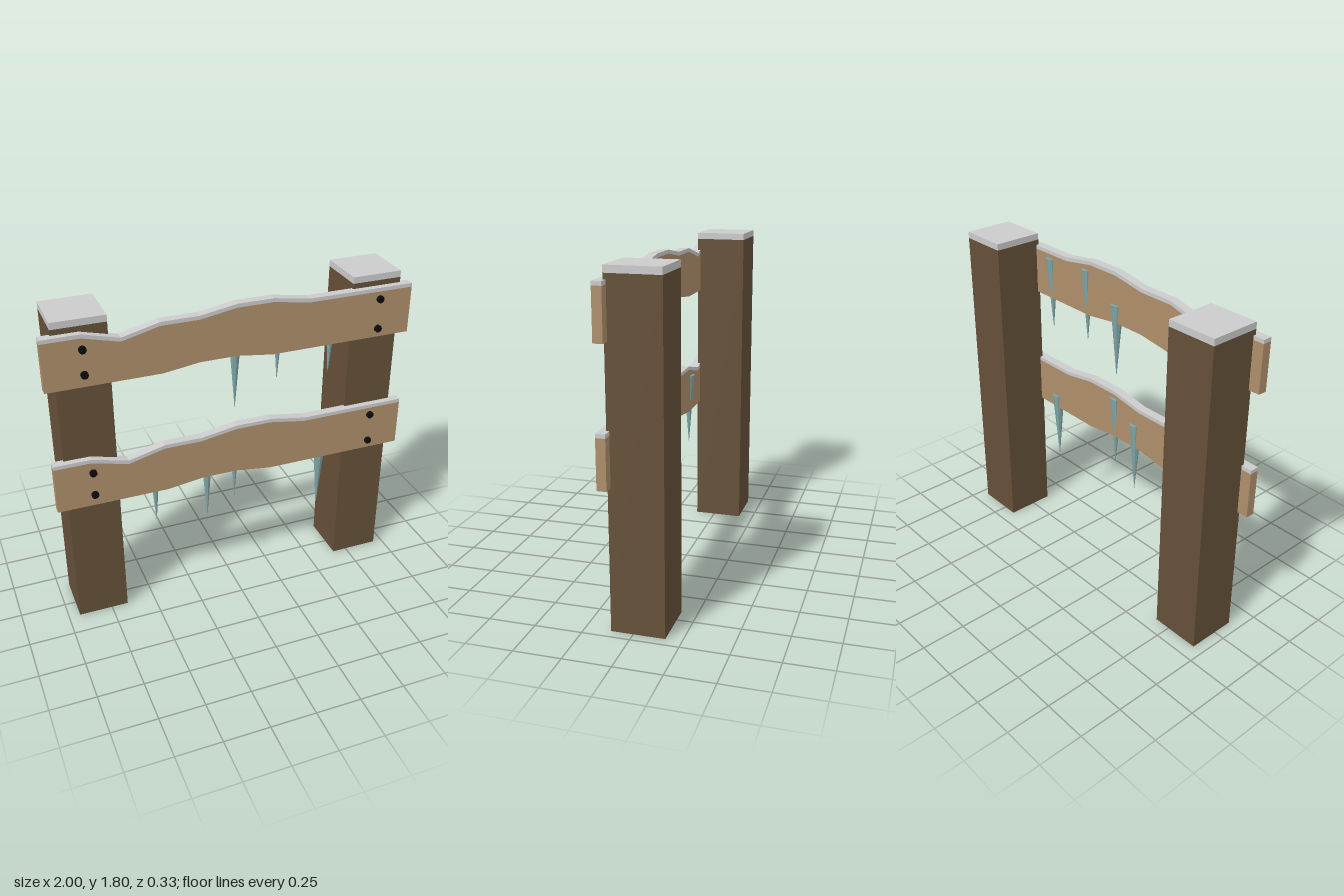
import * as THREE from 'three';

const material = (color) => new THREE.MeshStandardMaterial({ color, flatShading: true });

// Outline heights of a rail, left to right as seen from the front
const TOP = [[-1, 1.717], [-0.8, 1.717], [-0.605, 1.667], [-0.405, 1.717], [-0.2, 1.717],
  [0, 1.75], [0.2, 1.75], [0.4, 1.717], [1, 1.717]];
const BOTTOM = [[-1, 1.457], [-0.4, 1.457], [-0.2, 1.484], [0, 1.484], [0.2, 1.457], [1, 1.457]];
const SNOW = 0.021;
const BACK = 0.1, DEPTH = 0.05;

export function createModel() {
  const model = new THREE.Group();
  model.name = 'snowyFence';
  const postWood = material(0x655038);
  const railWood = material(0xae8f6b);
  const snow = material(0xcccccc);
  const ice = material(0x7fa6a8);
  const iron = material(0x0c0c0c);

  const add = (parent, name, geometry, mat, x = 0, y = 0, z = 0) => {
    const mesh = new THREE.Mesh(geometry, mat);
    mesh.name = name;
    mesh.position.set(x, y, z);
    parent.add(mesh);
    return mesh;
  };

  // Closed band between two height lines, extruded through the rail depth
  const band = (lower, upper) => {
    const points = [...lower, ...[...upper].reverse()].map(([x, y]) => new THREE.Vector2(x, y));
    return new THREE.ExtrudeGeometry(new THREE.Shape(points), { depth: DEPTH, bevelEnabled: false });
  };

  // Square posts with a slab of snow on top
  for (const [side, x] of [['right', -0.798], ['left', 0.806]]) {
    add(model, `${side}Post`, new THREE.BoxGeometry(0.28, 1.767, 0.28), postWood, x, 0.8835, -0.025);
    add(model, `${side}PostSnow`, new THREE.BoxGeometry(0.28, 0.036, 0.28), snow, x, 1.785, -0.025);
  }

  const railGeometry = band(BOTTOM, TOP);
  const snowGeometry = band(TOP, TOP.map(([x, y]) => [x, y + SNOW]));
  const boltGeometry = new THREE.CylinderGeometry(0.02, 0.02, 0.02, 12).rotateX(Math.PI / 2);
  const bolts = [[-0.798, 1.66], [-0.798, 1.525], [0.811, 1.676], [0.811, 1.507]];

  // Icicles: downward cones behind the rails, listed as x and tip height
  const length = 0.43;
  const icicleGeometry = new THREE.ConeGeometry(0.035, length, 8).rotateX(Math.PI).translate(0, length / 2, 0);

  const rails = [
    { name: 'upper', drop: 0, icicles: [[0, 1.155], [0.24, 1.285], [0.545, 1.262]] },
    { name: 'lower', drop: 0.703, icicles: [[-0.46, 0.54], [-0.162, 0.492], [0, 0.592], [0.52, 0.4]] },
  ];
  for (const { name, drop, icicles } of rails) {
    const rail = new THREE.Group();
    rail.name = `${name}Rail`;
    add(rail, `${name}Plank`, railGeometry, railWood, 0, -drop, BACK);
    add(rail, `${name}RailSnow`, snowGeometry, snow, 0, -drop, BACK);
    bolts.forEach(([x, y], i) => add(rail, `${name}Bolt${i + 1}`, boltGeometry, iron, x, y - drop, 0.156));
    icicles.forEach(([x, y], i) => add(rail, `${name}Icicle${i + 1}`, icicleGeometry, ice, x, y, 0.116));
    model.add(rail);
  }
  return model;
}
